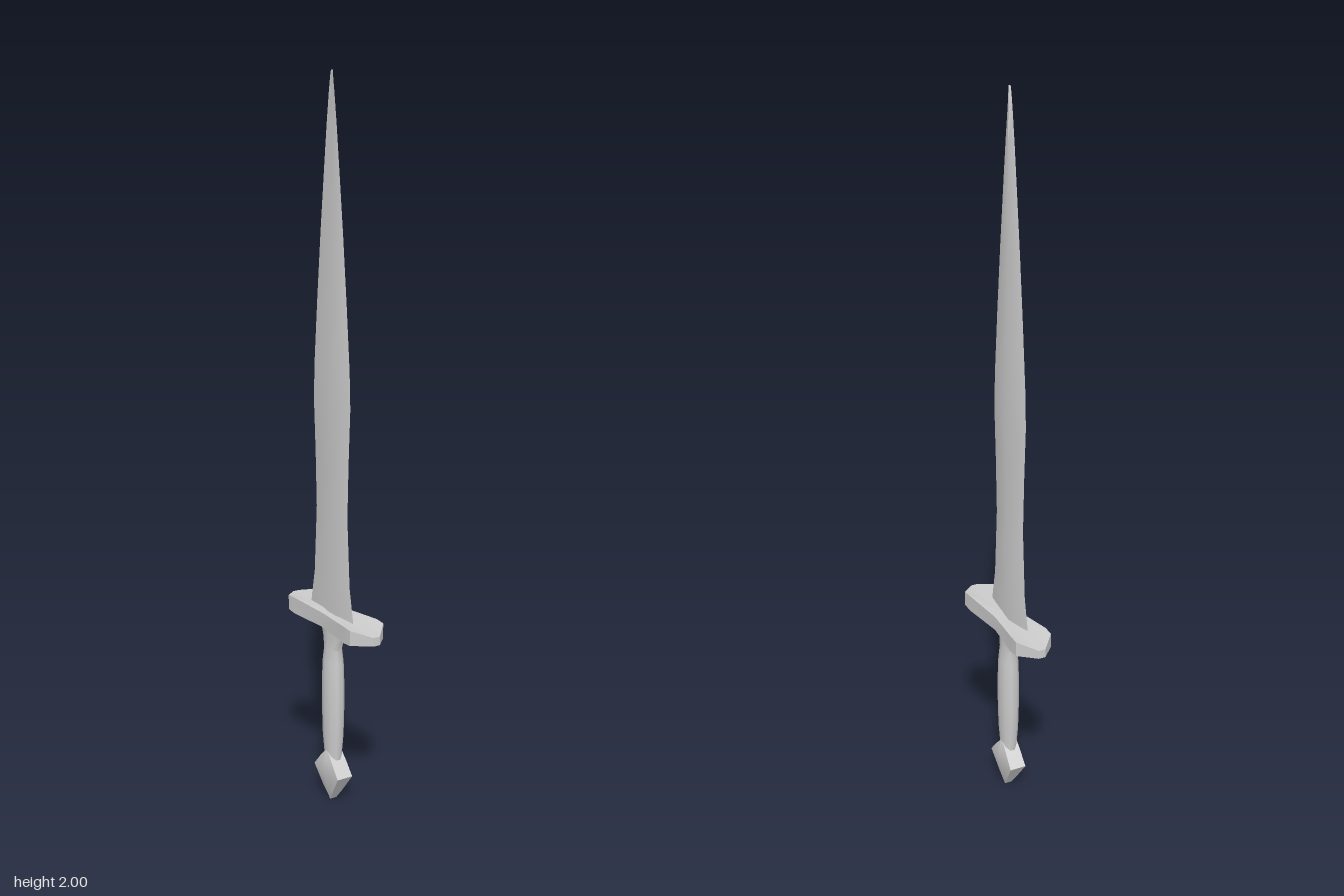
import * as THREE from 'three';
import { toCreasedNormals } from 'three/addons/utils/BufferGeometryUtils.js';

const material = new THREE.MeshStandardMaterial({ color: 0xcccccc });

// Skins a stack of rings (counter-clockwise seen from above, bottom to top) and closes both ends.
function loft(name, rings, crease) {
  const n = rings[0].length;
  const points = rings.flat();
  const index = [];
  for (let r = 0; r < rings.length - 1; r++) {
    for (let i = 0; i < n; i++) {
      const a = r * n + i, b = r * n + (i + 1) % n;
      index.push(a, b, b + n, a, b + n, a + n);
    }
  }
  const middle = ring => [0, 1, 2].map(k => ring.reduce((s, p) => s + p[k], 0) / n);
  const bottom = points.push(middle(rings[0])) - 1;
  const top = points.push(middle(rings[rings.length - 1])) - 1;
  const last = (rings.length - 1) * n;
  for (let i = 0; i < n; i++) {
    const j = (i + 1) % n;
    index.push(bottom, j, i, top, last + i, last + j);
  }
  const geometry = new THREE.BufferGeometry();
  geometry.setAttribute('position', new THREE.Float32BufferAttribute(points.flat(), 3));
  geometry.setIndex(index);
  const mesh = new THREE.Mesh(toCreasedNormals(geometry, crease), material);
  mesh.name = name;
  return mesh;
}

export function createModel() {
  const group = new THREE.Group();
  group.name = 'shortSword';
  const cx = -0.005;

  // Leaf-shaped blade with a slightly skewed diamond section: y, half width, half thickness
  const bladeRings = [
    [0.55, 0.112, 0.018], [0.58, 0.107, 0.018], [0.66, 0.091, 0.019], [0.85, 0.079, 0.02],
    [1.0, 0.084, 0.022], [1.15, 0.092, 0.023], [1.25, 0.088, 0.022], [1.42, 0.073, 0.017],
    [1.6, 0.055, 0.012], [1.75, 0.038, 0.008], [1.87, 0.024, 0.005], [1.95, 0.013, 0.003],
    [1.985, 0.007, 0.002], [2.0, 0.003, 0.001],
  ].map(([y, w, t]) => [
    [cx + t, y, -0.33 * w], [-0.009, y, -w], [cx - t, y, 0.42 * w], [-0.009, y, w],
  ]);
  group.add(loft('blade', bladeRings, 0.9));

  // Crossguard: waisted plate with chamfered ends; x, z, lower y, upper y for one quarter
  const quarter = [
    [0.037, 0, 0.525, 0.566], [0.053, -0.13, 0.527, 0.574],
    [0.053, -0.162, 0.53, 0.572], [0.01, -0.211, 0.536, 0.56],
  ];
  const half = [...quarter, ...quarter.slice(1).reverse().map(([x, z, a, b]) => [-x, z, a, b])];
  const outline = [...half, ...half.map(([x, z, a, b]) => [-x, -z, a, b])];
  group.add(loft('crossguard', [
    outline.map(([x, z, low]) => [x, low, z]),
    outline.map(([x, z, , high]) => [x, high, z]),
  ], 0.5));

  // Grip: oval section, flaring under the guard; y, half x, half z
  const sides = 10;
  const gripRings = [
    [0.1, 0.022, 0.029], [0.14, 0.022, 0.03], [0.2, 0.026, 0.037], [0.28, 0.028, 0.039],
    [0.36, 0.028, 0.039], [0.42, 0.026, 0.037], [0.46, 0.021, 0.034], [0.5, 0.017, 0.052],
    [0.53, 0.016, 0.068],
  ].map(([y, rx, rz]) => Array.from({ length: sides }, (_, i) => {
    const a = i / sides * Math.PI * 2;
    return [cx + rx * Math.cos(a), y, -rz * Math.sin(a)];
  }));
  group.add(loft('grip', gripRings, 0.9));

  // Pommel: thick diamond with bulging faces; y, half z, half x at rim, half x at centre
  const pommelRings = [
    [0, 0.002, 0.009, 0.011], [0.03, 0.023, 0.016, 0.021], [0.088, 0.063, 0.024, 0.033],
    [0.125, 0.032, 0.023, 0.03], [0.155, 0.003, 0.021, 0.023],
  ].map(([y, w, rim, mid]) => [
    [cx + mid, y, 0], [cx + rim, y, -w], [cx - rim, y, -w],
    [cx - mid, y, 0], [cx - rim, y, w], [cx + rim, y, w],
  ]);
  group.add(loft('pommel', pommelRings, 0.6));

  return group;
}
